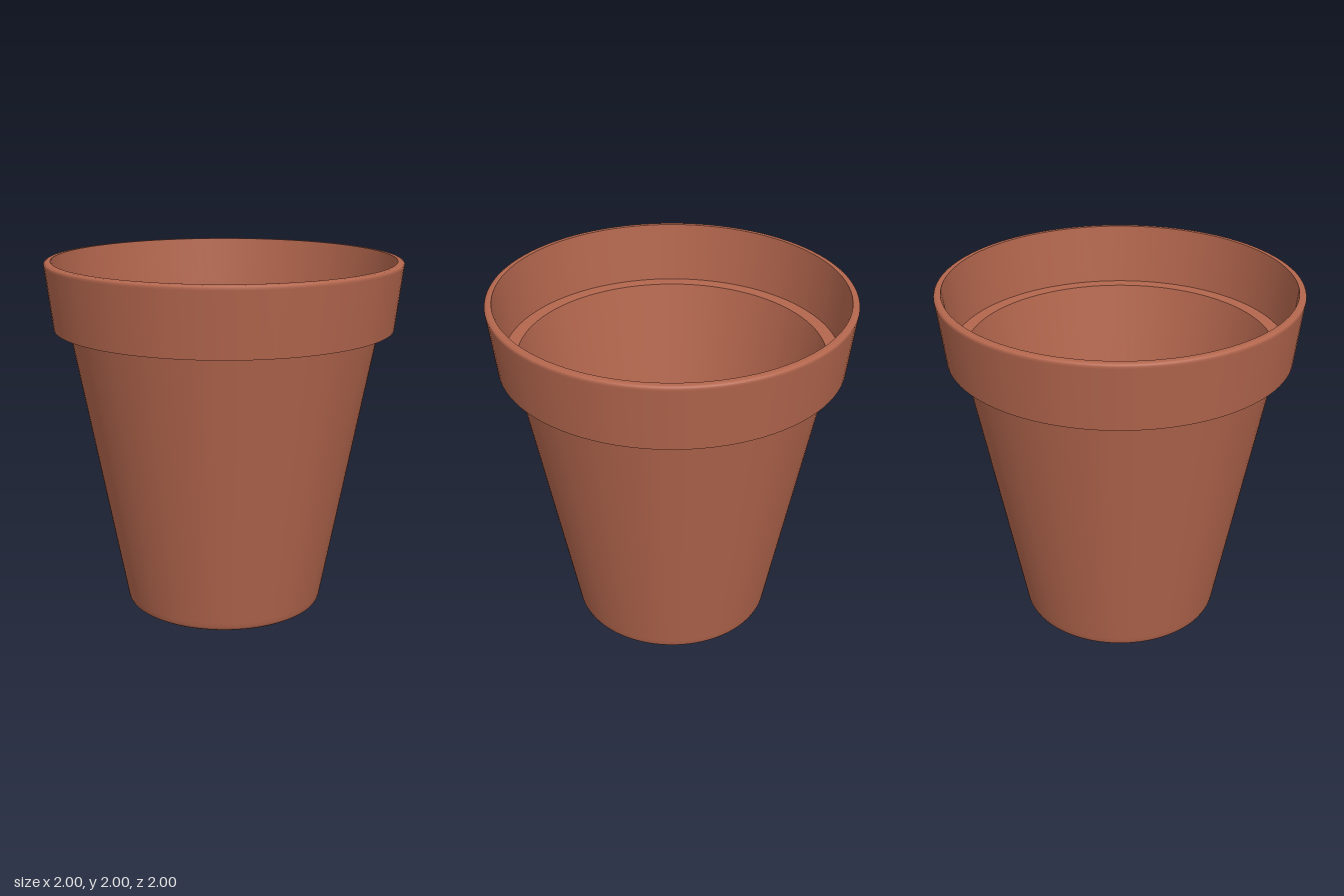
import * as THREE from 'three';

const SEGMENTS = 96;

export function createModel() {
  const terracotta = new THREE.MeshStandardMaterial({ color: 0xb3664d });
  terracotta.name = 'terracotta';

  const pot = new THREE.Group();
  pot.name = 'flowerPot';

  // Each section is a smooth lathe of [radius, height] points;
  // the seams between sections stay sharp.
  function addSection(name, profile) {
    const points = profile.map(([r, y]) => new THREE.Vector2(r, y));
    const mesh = new THREE.Mesh(new THREE.LatheGeometry(points, SEGMENTS), terracotta);
    mesh.name = name;
    pot.add(mesh);
  }

  // Outside, from the underside up, with a rounded foot
  addSection('outerBody', [
    [0, 0], [0.54, 0], [0.552, 0.002], [0.562, 0.009], [0.568, 0.022],
    [0.574, 0.05], [0.87, 1.625],
  ]);
  addSection('rimUnderside', [[0.87, 1.625], [0.955, 1.625]]);

  // Flared collar with a softened top edge
  addSection('rimOuterWall', [
    [0.955, 1.625], [0.997, 1.975], [0.998, 1.987], [0.994, 1.994],
    [0.985, 1.999], [0.975, 2], [0.96, 2],
  ]);

  // Inside, from the lip down to the floor
  addSection('rimInnerWall', [[0.96, 2], [0.925, 1.66]]);
  addSection('innerLedge', [[0.925, 1.66], [0.85, 1.66]]);
  addSection('innerBody', [[0.85, 1.66], [0.532, 0.04]]);
  addSection('floor', [[0.532, 0.04], [0, 0.04]]);

  return pot;
}
